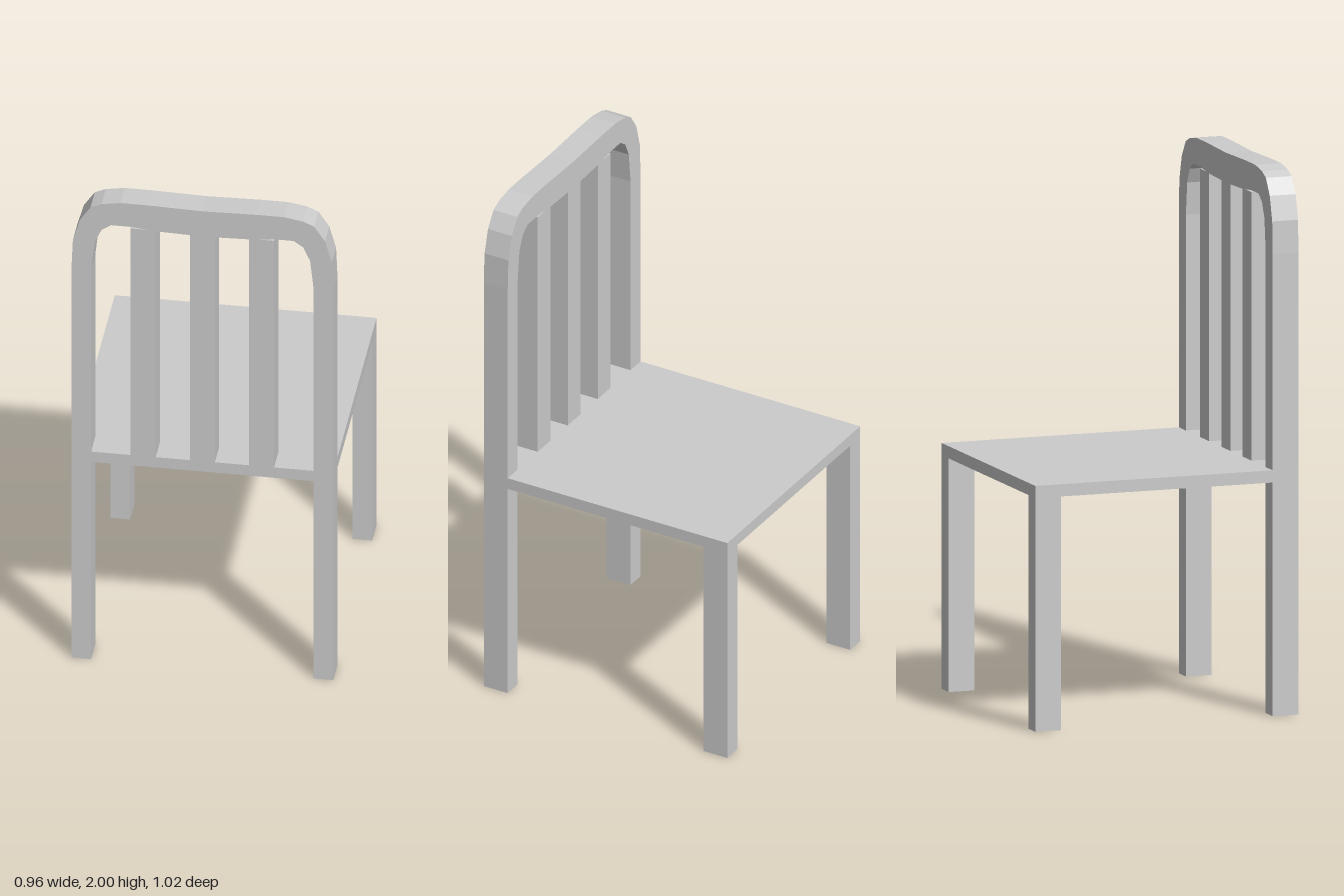
import * as THREE from 'three';

const material = new THREE.MeshStandardMaterial({ color: 0xcccccc, flatShading: true });

// Half widths and depths shared by the parts
const OUT = 0.48, INN = 0.408, BACK = 0.51, POST = 0.41;
const SEAT_LOW = 0.86, SEAT_TOP = 0.905;

function addMesh(group, name, geometry, x = 0, y = 0, z = 0) {
  const mesh = new THREE.Mesh(geometry, material);
  mesh.name = name;
  mesh.position.set(x, y, z);
  group.add(mesh);
  return mesh;
}

const mirrored = (pts) => [...pts].reverse().map(([x, y]) => [-x, y]);
const toShape = (pts) => new THREE.Shape(pts.map(([x, y]) => new THREE.Vector2(x, y)));

export function createModel() {
  const chair = new THREE.Group();
  chair.name = 'chair';

  // Back frame: two full-height posts joined by a faceted arch
  const outer = [[OUT, 0], [OUT, 1.7], [0.475, 1.82], [0.45, 1.91], [0.41, 1.97], [0.37, 1.988], [0.3, 2], [0.2, 2]];
  const inner = [[INN, 0], [INN, 1.7], [0.395, 1.82], [0.37, 1.875], [0.335, 1.9], [0.26, 1.9], [0.17, 1.89]];
  const outline = [
    ...outer, [0, 1.995], ...mirrored(outer),
    ...mirrored(mirrored(inner)).map(([x, y]) => [-x, y]), [0, 1.885], ...[...inner].reverse(),
  ];
  const depth = BACK - POST;
  addMesh(chair, 'backFrame',
    new THREE.ExtrudeGeometry(toShape(outline), { depth, bevelEnabled: false }), 0, 0, POST);

  // Seat: a slab notched around the back posts
  const seatHalf = [[OUT, -BACK], [OUT, POST], [INN, POST], [INN, BACK]];
  const seat = new THREE.ExtrudeGeometry(toShape([...seatHalf, ...mirrored(seatHalf)]),
    { depth: SEAT_TOP - SEAT_LOW, bevelEnabled: false });
  seat.rotateX(Math.PI / 2);
  addMesh(chair, 'seat', seat, 0, SEAT_TOP, 0);

  // Three upright slats between seat and arch
  const slatTop = 1.893;
  for (const x of [-0.217, 0, 0.217]) {
    addMesh(chair, 'backSlat', new THREE.BoxGeometry(0.092, slatTop - SEAT_TOP, depth),
      x, (slatTop + SEAT_TOP) / 2, (BACK + POST) / 2);
  }

  // Two square legs at the open edge of the seat
  for (const side of [-1, 1]) {
    addMesh(chair, side > 0 ? 'leftLeg' : 'rightLeg',
      new THREE.BoxGeometry(OUT - INN, SEAT_LOW, depth),
      side * (OUT + INN) / 2, SEAT_LOW / 2, -(BACK + POST) / 2);
  }
  return chair;
}
